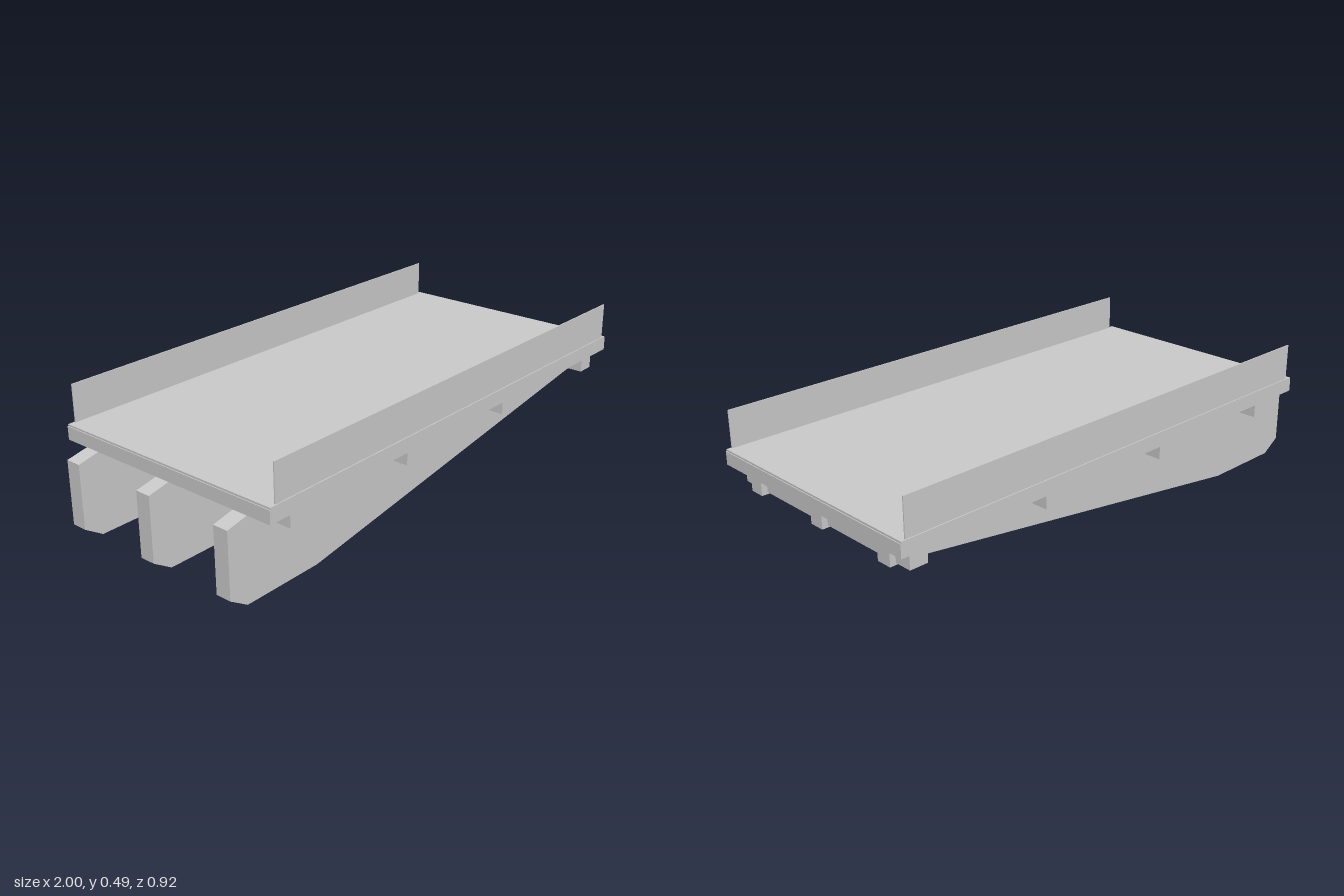
import * as THREE from 'three';

export function createModel() {
  const group = new THREE.Group();
  const material = new THREE.MeshStandardMaterial({ color: 0xcccccc, flatShading: true });

  const add = (name, geometry) => {
    const mesh = new THREE.Mesh(geometry, material);
    mesh.name = name;
    group.add(mesh);
    return mesh;
  };
  // Box given by its lower and upper corners
  const box = (name, x0, x1, y0, y1, z0, z1) =>
    add(name, new THREE.BoxGeometry(x1 - x0, y1 - y0, z1 - z0))
      .position.set((x0 + x1) / 2, (y0 + y1) / 2, (z0 + z1) / 2);

  // Deck slab with a thin surface sheet
  box('deck', -0.92, 1, 0.297, 0.345, -0.461, 0.461);
  box('deckSheet', -0.917, 0.997, 0.345, 0.352, -0.461, 0.461);

  // Thin side walls along both long edges
  for (const s of [1, -1]) {
    const z = s * 0.455;
    box(s > 0 ? 'frontWall' : 'backWall', -0.893, 0.98, 0.35, 0.488, z - 0.002, z + 0.002);
  }

  // Tapered longitudinal beams
  const profile = new THREE.Shape([
    [-1, 0.045], [-0.93, 0.003], [-0.62, 0.003], [0.88, 0.222],
    [0.97, 0.222], [0.97, 0.297], [-0.92, 0.297], [-1, 0.28],
  ].map(([x, y]) => new THREE.Vector2(x, y - 0.003 * (y < 0.01))));
  const beamWidth = 0.058;
  for (const z of [-0.338, 0, 0.338]) {
    add('beam', new THREE.ExtrudeGeometry(profile, { depth: beamWidth, bevelEnabled: false }))
      .position.z = z - beamWidth / 2;
  }

  // Cross bars passing through the beams under the deck
  for (const x of [-0.772, -0.209, 0.353, 0.914]) {
    box('crossBar', x - 0.034, x + 0.034, 0.229, 0.297, -0.432, 0.432);
  }

  return group;
}
